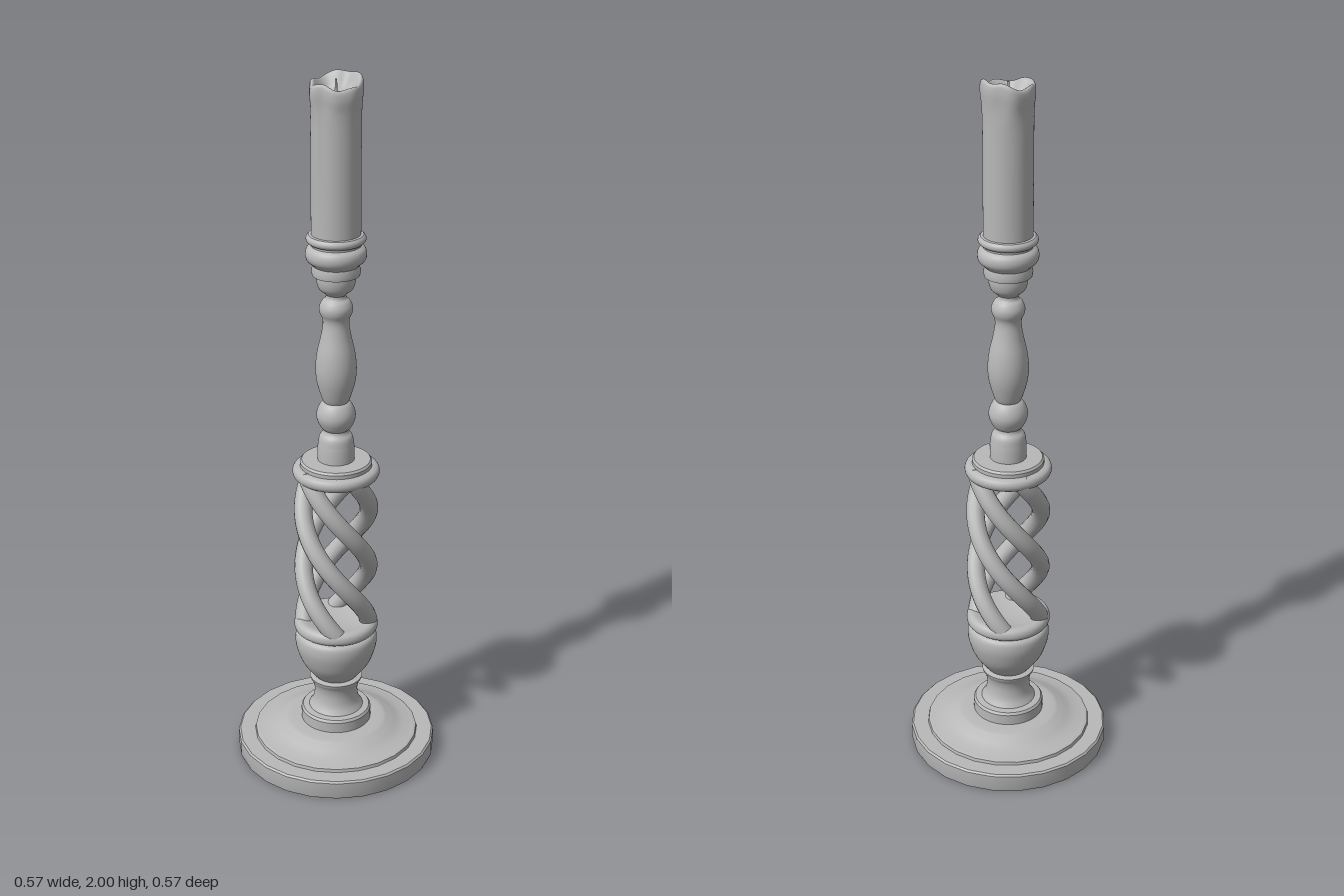
import * as THREE from 'three';
import { toCreasedNormals } from 'three/addons/utils/BufferGeometryUtils.js';

const grey = new THREE.MeshStandardMaterial({ color: 0xb8b8b8 });
grey.name = 'plain grey';

const toVectors = (pts) => pts.map(([r, y]) => new THREE.Vector2(r, y));

// Smooth run of profile points through the given ones
function curve(pts, n = 24) {
  return new THREE.SplineCurve(toVectors(pts)).getPoints(n).map((p) => [Math.max(p.x, 0), p.y]);
}

// Creased normals, worked out at a larger scale so that fine detail is kept
function crease(geometry, angle = 0.6) {
  geometry.scale(100, 100, 100);
  const result = toCreasedNormals(geometry, angle);
  return result.scale(0.01, 0.01, 0.01);
}

function mesh(name, geometry) {
  const m = new THREE.Mesh(geometry, grey);
  m.name = name;
  return m;
}

// Turned part: profile of [radius, height] pairs from bottom to top
function turned(name, pts, sides = 48, start = 0) {
  return mesh(name, crease(new THREE.LatheGeometry(toVectors(pts), sides, start)));
}

// One helical strand of the open twist
function strand(phase) {
  const y0 = 0.405, y1 = 0.9, pitch = 0.72, radius = 0.092, crossing = 0.7;
  const pts = [];
  for (let i = 0; i <= 32; i++) {
    const y = y0 + ((y1 - y0) * i) / 32;
    const a = phase - ((y - crossing) / pitch) * Math.PI * 2;
    pts.push(new THREE.Vector3(radius * Math.sin(a), y, radius * Math.cos(a)));
  }
  return new THREE.TubeGeometry(new THREE.CatmullRomCurve3(pts), 64, 0.026, 14);
}

// Candle with a wavy melted rim, hollow top and soft drips
function candleGeometry() {
  const profile = [
    [0, 1.56], [0.066, 1.56], [0.066, 1.62], [0.066, 1.7], [0.066, 1.78], [0.066, 1.85],
    ...curve([[0.066, 1.88], [0.067, 1.92], [0.07, 1.95], [0.068, 1.972], [0.061, 1.978],
      [0.052, 1.968], [0.038, 1.95], [0.018, 1.942], [0, 1.94]], 28),
  ];
  const g = new THREE.LatheGeometry(toVectors(profile), 60);
  const p = g.attributes.position;
  for (let i = 0; i < p.count; i++) {
    const x = p.getX(i), y = p.getY(i), z = p.getZ(i);
    const a = Math.atan2(x, z), r = Math.hypot(x, z);
    const top = THREE.MathUtils.smoothstep(y, 1.88, 1.97);
    const wave = 0.009 * Math.cos(a - 2.2) + 0.006 * Math.cos(2 * a - 3.4) + 0.004 * Math.cos(5 * a);
    const lump = 0.03 * Math.cos(4 * a + 0.6) + 0.025 * Math.cos(7 * a - 1);
    const drip = 0.07 * Math.exp(-(((a + 1.5) / 0.2) ** 2)) * THREE.MathUtils.smoothstep(y, 1.6, 1.8);
    const k = 1 + lump * top + drip * (r > 0.06 ? 1 : 0);
    p.setXYZ(i, x * k, y + wave * top * Math.min(1, r / 0.055), z * k);
  }
  // Lift the highest point of the rim to the full height
  g.computeBoundingBox();
  const lift = 2 - g.boundingBox.max.y;
  for (let i = 0; i < p.count; i++) {
    if (p.getY(i) > 1.9) p.setY(i, p.getY(i) + lift * THREE.MathUtils.smoothstep(p.getY(i), 1.9, 1.96));
  }
  return crease(g, 1.2);
}

export function createModel() {
  const model = new THREE.Group();
  model.name = 'candlestick';

  // Faceted round foot with a raised step and sloping dome
  model.add(turned('foot', [
    [0, 0], [0.285, 0], [0.287, 0.006], [0.287, 0.05], [0.282, 0.055], [0.238, 0.055],
    [0.236, 0.064], [0.228, 0.067],
    ...curve([[0.225, 0.067], [0.19, 0.075], [0.155, 0.091], [0.125, 0.098], [0, 0.1]], 16),
  ], 24, Math.PI / 24));

  // Collar and waisted neck
  model.add(turned('lowerNeck', [
    [0, 0.09], [0.101, 0.09], [0.101, 0.13], [0.096, 0.137], [0.08, 0.139],
    ...curve([[0.078, 0.139], [0.066, 0.16], [0.062, 0.19], [0.066, 0.215], [0.074, 0.23]], 14),
    [0.076, 0.238], [0.06, 0.243], [0, 0.243],
  ]));

  // Bulging cup under the twist
  model.add(turned('lowerCup', [
    [0, 0.238],
    ...curve([[0.06, 0.24], [0.078, 0.262], [0.1, 0.295], [0.115, 0.34], [0.117, 0.37],
      [0.111, 0.386], [0.095, 0.392]]),
    [0, 0.393],
  ]));

  // Open twist: end rings joined by four strands
  const twist = new THREE.Group();
  twist.name = 'openTwist';
  twist.add(turned('lowerRing', [
    [0, 0.388], [0.095, 0.39],
    ...curve([[0.105, 0.392], [0.117, 0.4], [0.12, 0.412], [0.115, 0.425], [0.1, 0.43], [0.07, 0.421]], 16),
    [0, 0.413],
  ]));
  twist.add(turned('upperRing', [
    [0, 0.893],
    ...curve([[0.07, 0.886], [0.1, 0.876], [0.115, 0.881], [0.121, 0.894], [0.117, 0.907], [0.105, 0.913]], 16),
    [0, 0.913],
  ]));
  for (let i = 0; i < 4; i++) twist.add(mesh('strand', strand((i * Math.PI) / 2)));
  model.add(twist);

  // Disc above the twist
  model.add(turned('upperDisc', [
    [0, 0.905], [0.092, 0.905], [0.1, 0.913], [0.1, 0.924], [0.095, 0.93], [0, 0.932],
  ]));

  // Slender stem: plinth, ball and vase
  model.add(turned('stemPlinth', [
    [0, 0.925], [0.051, 0.925], [0.051, 0.97],
    ...curve([[0.05, 0.975], [0.046, 1.0], [0.036, 1.013], [0.034, 1.025]], 10), [0, 1.03],
  ]));
  model.add(turned('stemBall', curve([[0, 1.015], [0.033, 1.02], [0.048, 1.04], [0.054, 1.063],
    [0.048, 1.087], [0.033, 1.104], [0, 1.11]], 30)));
  model.add(turned('stemVase', [
    [0, 1.095],
    ...curve([[0.032, 1.1], [0.04, 1.118], [0.052, 1.16], [0.056, 1.2], [0.052, 1.245],
      [0.042, 1.29], [0.036, 1.325], [0.037, 1.345], [0.044, 1.362], [0.045, 1.378],
      [0.038, 1.394], [0.028, 1.404], [0.027, 1.42]], 48),
    [0, 1.425],
  ]));

  // Ringed candle socket
  model.add(turned('socket', [
    [0, 1.413], [0.028, 1.413],
    ...curve([[0.032, 1.418], [0.046, 1.43], [0.052, 1.448], [0.053, 1.464]], 12),
    [0.064, 1.468], [0.066, 1.48], [0.062, 1.495],
    ...curve([[0.066, 1.5], [0.078, 1.511], [0.082, 1.526], [0.078, 1.541], [0.067, 1.55]], 14),
    [0.067, 1.556],
    ...curve([[0.072, 1.557], [0.079, 1.564], [0.079, 1.573], [0.073, 1.58]], 10),
    [0.06, 1.582], [0, 1.582],
  ]));

  // Candle and wick
  model.add(mesh('candle', candleGeometry()));
  const wick = mesh('wick', new THREE.CylinderGeometry(0.003, 0.004, 0.055, 10));
  wick.position.y = 1.962;
  model.add(wick);

  return model;
}
